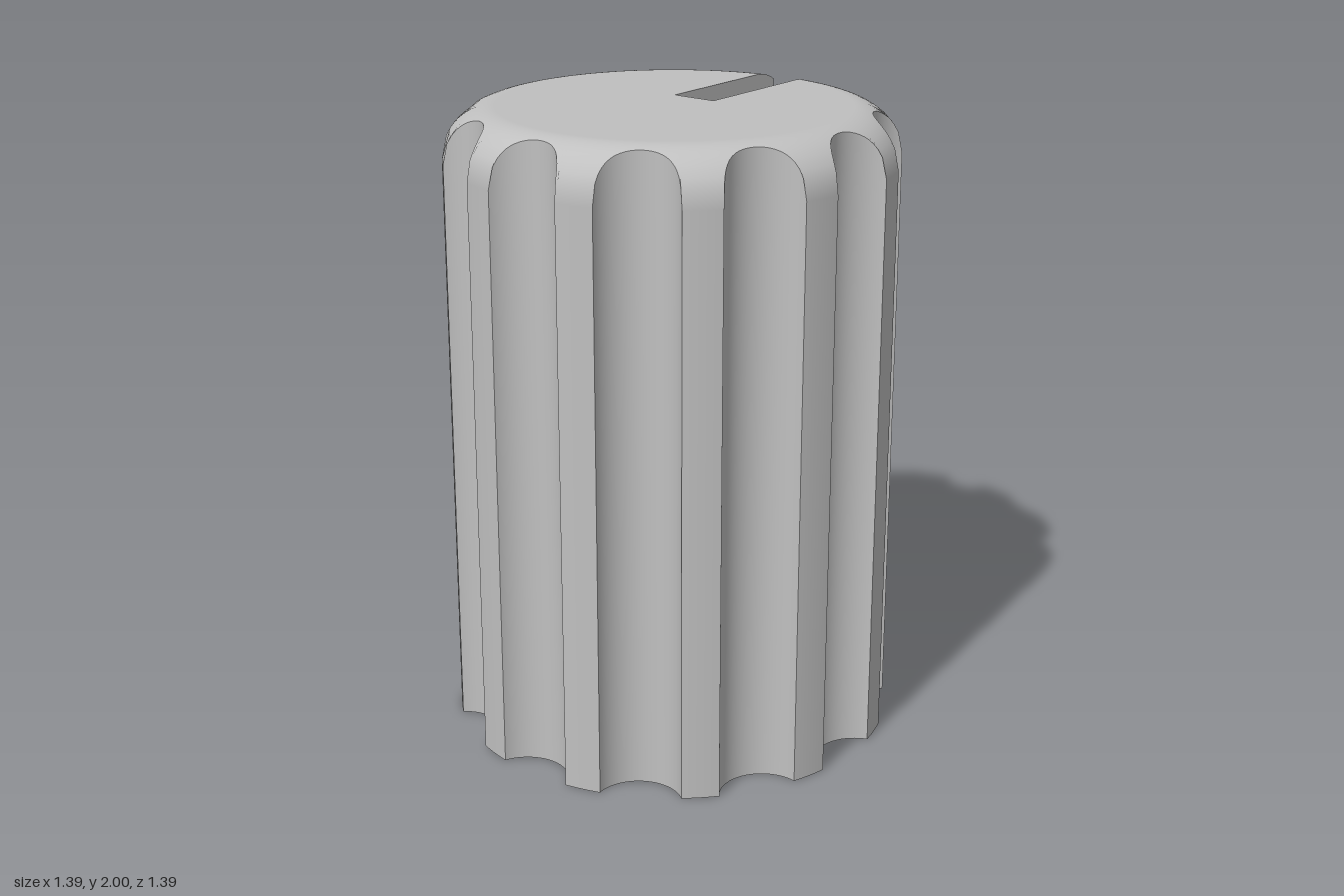
import * as THREE from 'three';
import { mergeGeometries, toCreasedNormals } from 'three/addons/utils/BufferGeometryUtils.js';

const H = 2, R = 0.707, FILLET = 0.16, FLAT = R - FILLET;   // body and rounded top edge
const FLUTES = 12, FC = 0.742, FR = 0.134;                  // flute centre distance and radius
const SLOT_W = 0.075, SLOT_X = 0.105, SLOT_Y = 1.94;        // pointer slot
const STEP = (Math.PI * 2) / FLUTES;

// key angles: flute edge and slot edge, around the flute axis and around the body axis
const edgeX = (R * R + FC * FC - FR * FR) / (2 * FC);
const edgeZ = Math.sqrt(R * R - edgeX * edgeX);
const phiEdge = Math.atan2(edgeZ, FC - edgeX);
const phiSlot = Math.asin(SLOT_W / FR);
const slotEndX = FC - FR * Math.cos(phiSlot);
const outSlot = Math.atan2(SLOT_W, slotEndX), inSlot = Math.asin(SLOT_W / FLAT);

const lerp = (a, b, t) => a + (b - a) * t;
const topY = (r) => r <= FLAT ? H : H - FILLET + Math.sqrt(Math.max(0, FILLET ** 2 - (r - FLAT) ** 2));

// angle on the flat top's rim that belongs to an outline angle, so slot edges stay parallel
function rimAngle(a) {
  const s = Math.abs(a), half = STEP / 2;
  if (s > half) return STEP - rimAngle(STEP - s);
  const b = s < outSlot ? s * inSlot / outSlot : lerp(inSlot, half, (s - outSlot) / (half - outSlot));
  return Math.sign(a) * b;
}

function outlinePoint(k, x, z, nx, nz) {
  const c = Math.cos(k * STEP), s = Math.sin(k * STEP);
  const rim = k * STEP + rimAngle(Math.atan2(z, x));
  return {
    x: x * c - z * s, z: x * s + z * c, nx: nx * c - nz * s, nz: nx * s + nz * c,
    ix: FLAT * Math.cos(rim), iz: FLAT * Math.sin(rim),
  };
}
const flutePoint = (k, p) =>
  outlinePoint(k, FC - FR * Math.cos(p), FR * Math.sin(p), Math.cos(p), -Math.sin(p));
const landPoint = (k, a) =>
  outlinePoint(k, R * Math.cos(a), R * Math.sin(a), Math.cos(a), Math.sin(a));
const run = (n, a, b, fn) => Array.from({ length: n + 1 }, (_, i) => fn(lerp(a, b, i / n)));

// surface patch; fn(i, j) gives [x, y, z, nx, ny, nz]
function grid(nu, nv, fn) {
  const pos = [], nor = [], idx = [];
  for (let j = 0; j <= nv; j++) for (let i = 0; i <= nu; i++) {
    const p = fn(i, j);
    pos.push(p[0], p[1], p[2]);
    nor.push(p[3], p[4], p[5]);
    if (i < nu && j < nv) {
      const a = j * (nu + 1) + i, d = a + nu + 1;
      idx.push(a, d, d + 1, a, d + 1, a + 1);
    }
  }
  const g = new THREE.BufferGeometry();
  g.setAttribute('position', new THREE.Float32BufferAttribute(pos, 3));
  g.setAttribute('normal', new THREE.Float32BufferAttribute(nor, 3));
  g.setIndex(idx);
  return g;
}

const wall = (pts, top) => grid(pts.length - 1, 1, (i, j) => {
  const p = pts[i];
  return [p.x, j ? (top ?? topY(Math.hypot(p.x, p.z))) : 0, p.z, p.nx, 0, p.nz];
});

const roundedEdge = (pts) => grid(pts.length - 1, 10, (i, j) => {
  const p = pts[i], t = Math.sin(j / 10 * Math.PI / 2);
  const x = lerp(p.x, p.ix, t), z = lerp(p.z, p.iz, t);
  const r = Math.hypot(x, z), y = topY(r), k = Math.max(0, r - FLAT) / FILLET;
  return [x, y, z, x / r * k, (y - H + FILLET) / FILLET, z / r * k];
});

const flatShape = (pts) => new THREE.Shape(pts.map(([x, z]) => new THREE.Vector2(x, z)));

export function createModel() {
  const model = new THREE.Group();
  model.name = 'knob';
  const grey = new THREE.MeshStandardMaterial({ color: 0xc0c0c0 });
  grey.name = 'grey';
  const add = (name, geometry) => {
    const mesh = new THREE.Mesh(geometry, grey);
    mesh.name = name;
    model.add(mesh);
  };

  // fluted side and rounded top edge, strip by strip
  const fluteWalls = [], landWalls = [], edges = [], outline = [], rim = [];
  let slotMouth;
  for (let k = 0; k < FLUTES; k++) {
    const flute = (n, a, b) => run(n, a, b, (p) => flutePoint(k, p));
    const before = flute(6, -phiEdge, -phiSlot);
    const middle = flute(10, -phiSlot, phiSlot);
    const after = flute(6, phiSlot, phiEdge);
    const a0 = Math.atan2(edgeZ, edgeX);
    const land = run(6, a0, STEP - a0, (a) => landPoint(k, a));
    fluteWalls.push(wall(before), wall(middle, k === 0 ? SLOT_Y : undefined), wall(after));
    landWalls.push(wall(land));
    edges.push(roundedEdge(before), roundedEdge(after), roundedEdge(land));
    if (k === 0) slotMouth = middle;
    else edges.push(roundedEdge(middle));
    for (const strip of [before, middle, after, land]) {
      strip.slice(0, -1).forEach((p) => {
        outline.push([p.x, p.z]);
        if (!(k === 0 && strip === middle)) rim.push([p.ix, p.iz]);
        else if (p === middle[0]) rim.push([p.ix, p.iz], [SLOT_X, -SLOT_W], [SLOT_X, SLOT_W]);
      });
    }
  }
  add('flutes', mergeGeometries(fluteWalls));
  add('ribs', mergeGeometries(landWalls));
  add('roundedTopEdge', mergeGeometries(edges));

  // flat top with the slot left open
  add('topFace', new THREE.ShapeGeometry(flatShape(rim)).rotateX(-Math.PI / 2).translate(0, H, 0));

  // pointer slot: floor, two sides and inner end
  const floor = [[SLOT_X, SLOT_W], [SLOT_X, -SLOT_W], ...slotMouth.map((p) => [p.x, p.z])];
  add('slotFloor', new THREE.ShapeGeometry(flatShape(floor)).rotateX(-Math.PI / 2).translate(0, SLOT_Y, 0));
  const xs = [SLOT_X, ...run(10, Math.sqrt(FLAT ** 2 - SLOT_W ** 2), slotEndX, (x) => x)];
  const slotSide = (s) => grid(xs.length - 1, 1, (i, j) => {
    const x = s > 0 ? xs[i] : xs[xs.length - 1 - i];
    return [x, j ? topY(Math.hypot(x, SLOT_W)) : SLOT_Y, s * SLOT_W, 0, 0, -s];
  });
  const slotEnd = grid(1, 1, (i, j) => [SLOT_X, j ? H : SLOT_Y, i ? SLOT_W : -SLOT_W, 1, 0, 0]);
  add('slotWalls', mergeGeometries([slotSide(1), slotSide(-1), slotEnd]));

  // underside with a stepped shaft hole
  const base = flatShape(outline);
  base.holes.push(new THREE.Path().absarc(0, 0, 0.415, 0, Math.PI * 2, true));
  add('bottomFace', new THREE.ShapeGeometry(base, 32).rotateX(Math.PI / 2));
  const bore = [[0, 1.55], [0.335, 1.55], [0.335, 0.37], [0.415, 0.37], [0.415, 0]];
  add('shaftHole', toCreasedNormals(
    new THREE.LatheGeometry(bore.map(([x, y]) => new THREE.Vector2(x, y)), 64), 0.6));
  return model;
}
